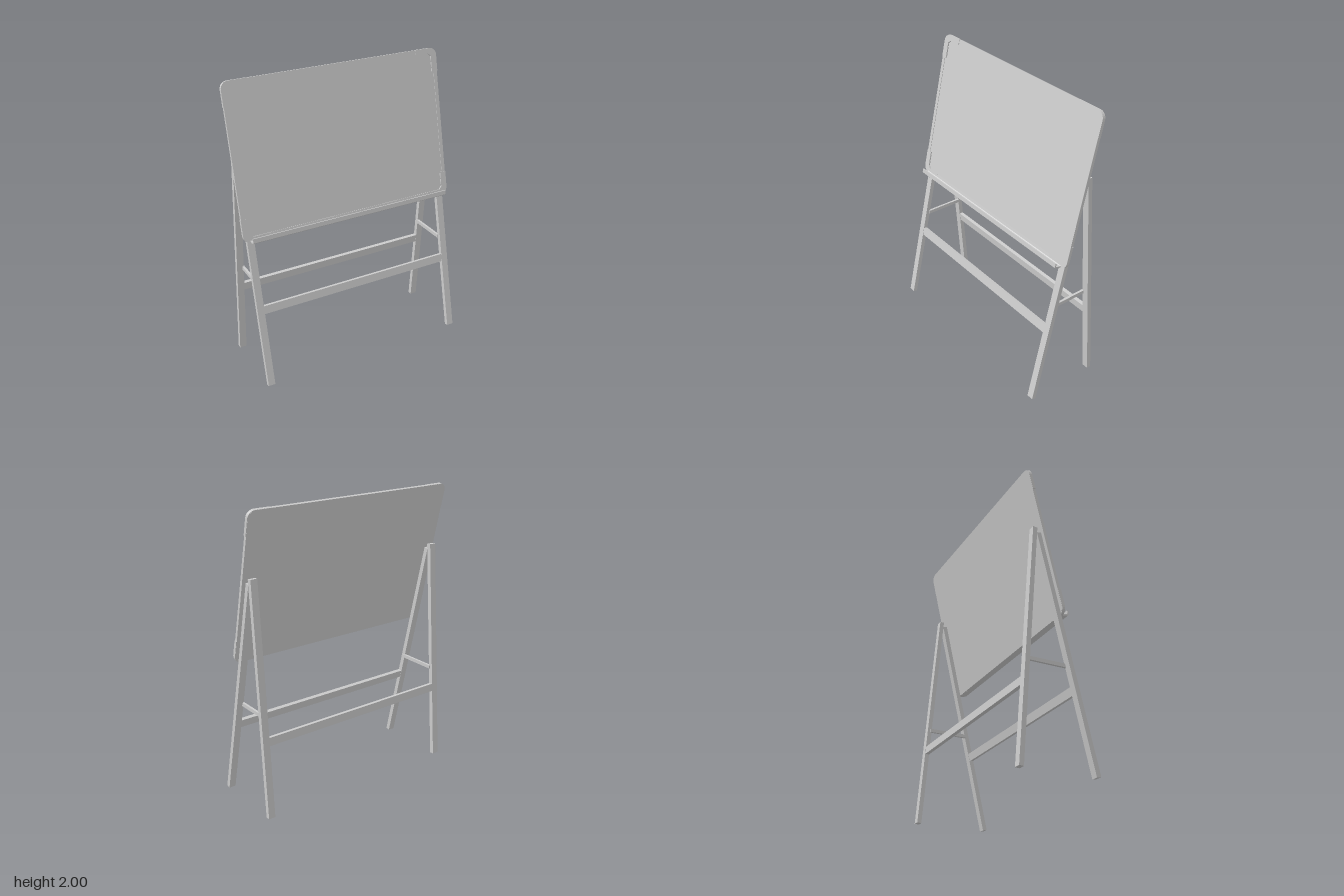
import * as THREE from 'three';

const material = new THREE.MeshStandardMaterial({ color: 0xcccccc, flatShading: true });

function add(parent, name, geometry, x = 0, y = 0, z = 0) {
  const mesh = new THREE.Mesh(geometry, material);
  mesh.name = name;
  mesh.position.set(x, y, z);
  parent.add(mesh);
  return mesh;
}

const box = (w, h, d) => new THREE.BoxGeometry(w, h, d);

// Rounded rectangle centred on the origin
function roundedRect(target, halfW, halfH, r) {
  target.moveTo(-halfW + r, -halfH);
  target.lineTo(halfW - r, -halfH);
  target.absarc(halfW - r, -halfH + r, r, -Math.PI / 2, 0, false);
  target.lineTo(halfW, halfH - r);
  target.absarc(halfW - r, halfH - r, r, 0, Math.PI / 2, false);
  target.lineTo(-halfW + r, halfH);
  target.absarc(-halfW + r, halfH - r, r, Math.PI / 2, Math.PI, false);
  target.lineTo(-halfW, -halfH + r);
  target.absarc(-halfW + r, -halfH + r, r, Math.PI, Math.PI * 1.5, false);
  return target;
}

function rectHole(w, h) {
  const p = new THREE.Path();
  p.moveTo(-w, -h);
  p.lineTo(-w, h);
  p.lineTo(w, h);
  p.lineTo(w, -h);
  p.closePath();
  return p;
}

const extrude = (shape, depth) =>
  new THREE.ExtrudeGeometry(shape, { depth, bevelEnabled: false, curveSegments: 6 });

// Pair of legs joined by a cross rail; its own y axis runs up the legs
function legPair(name, length, railY) {
  const group = new THREE.Group();
  group.name = name;
  for (const side of [-1, 1]) add(group, 'leg', box(0.048, length, 0.03), side * 0.727, length / 2);
  add(group, 'crossRail', box(1.41, 0.055, 0.026), 0, railY);
  return group;
}

function buildBoard() {
  const board = new THREE.Group();
  board.name = 'board';
  const W = 0.777, H = 0.513;

  // Backing sheet and writing surface
  add(board, 'backSheet', extrude(roundedRect(new THREE.Shape(), W, H, 0.05), 0.006));
  add(board, 'writingSurface', box(1.49, 0.97, 0.008), 0, 0, 0.009);

  // Frame with a lower inner step
  const rim = roundedRect(new THREE.Shape(), W, H, 0.05);
  rim.holes.push(rectHole(0.75, 0.492));
  add(board, 'frame', extrude(rim, 0.014), 0, 0, 0.006);
  const step = new THREE.Shape(rectHole(0.751, 0.493).getPoints());
  step.holes.push(rectHole(0.735, 0.475));
  add(board, 'frameStep', extrude(step, 0.011), 0, 0, 0.006);

  // L-shaped corner caps, slightly proud of the frame
  const cx = 0.78, cy = 0.514, r = 0.05, arm = 0.16;
  for (const sx of [-1, 1]) for (const sy of [-1, 1]) {
    const cap = new THREE.Shape();
    const pts = [[cx, cy - arm]];
    for (let i = 0; i <= 6; i++) {
      const a = (i / 6) * Math.PI / 2;
      pts.push([cx - r + r * Math.cos(a), cy - r + r * Math.sin(a)]);
    }
    pts.push([cx - arm, cy], [cx - arm, cy - 0.036], [cx - 0.065, cy - 0.036],
      [cx - 0.044, cy - 0.055], [cx - 0.044, cy - arm]);
    cap.setFromPoints(pts.map(([x, y]) => new THREE.Vector2(sx * x, sy * y)));
    add(board, 'cornerCap', extrude(cap, 0.021), 0, 0, 0.001);
  }

  // Pen tray: shelf with an upturned lip, profile given as depth and height
  const profile = [[0.012, 0], [0.062, 0], [0.069, 0.005], [0.071, 0.034], [0.064, 0.035],
    [0.061, 0.014], [0.055, 0.009], [0.026, 0.009], [0.022, 0.014], [0.021, 0.036], [0.012, 0.036]];
  const tray = new THREE.Shape(profile.map(([z, y]) => new THREE.Vector2(-z, y)));
  const trayGeometry = extrude(tray, 1.47);
  trayGeometry.rotateY(Math.PI / 2);
  add(board, 'penTray', trayGeometry, -0.735, -H, 0);
  return board;
}

export function createModel() {
  const model = new THREE.Group();
  model.name = 'easelBoard';

  // Front frame leans back and carries the board
  const front = legPair('frontFrame', 1.578, 0.534);
  front.position.set(0, 0.0034, 0.25);
  front.rotation.x = -THREE.MathUtils.degToRad(13);
  const board = buildBoard();
  board.position.set(0, 1.527, 0.015);
  front.add(board);
  model.add(front);

  // Rear frame leans forward
  const rear = legPair('rearFrame', 1.578, 0.525);
  rear.position.set(0, 0.0012, -0.25);
  rear.rotation.x = THREE.MathUtils.degToRad(4.35);
  model.add(rear);

  // Side braces between front and rear legs
  for (const side of [-1, 1]) {
    add(model, 'sideBrace', box(0.016, 0.024, 0.28), side * 0.704, 0.678, -0.053);
  }
  return model;
}
